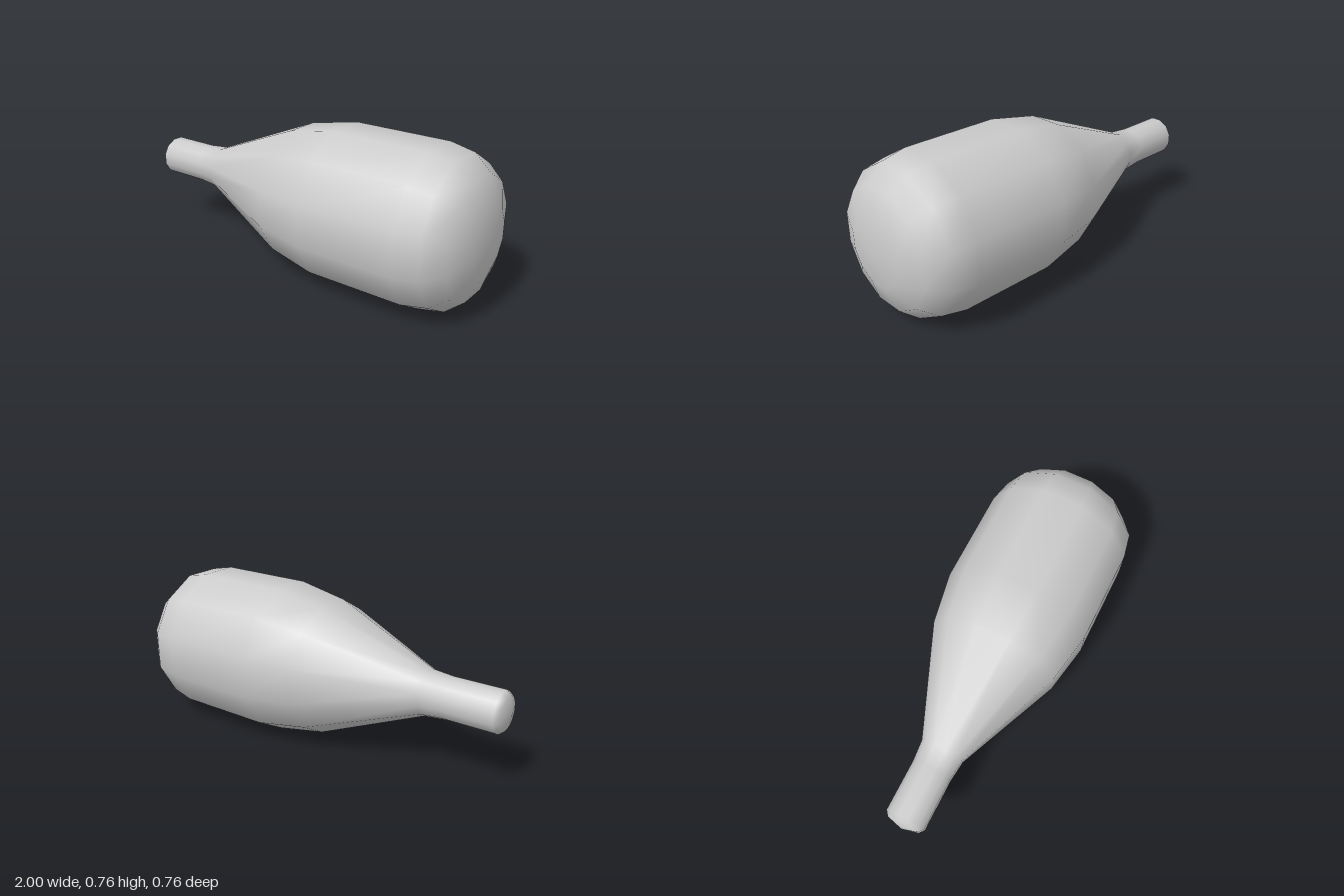
import * as THREE from 'three';

const SIDES = 12;
const HALF = Math.PI / SIDES;

// Profile along the bottle: [x, distance from axis to the flat of a side]
const PROFILE = [
  [-1.0, 0], [-0.98, 0.08], [-0.955, 0.1],                           // rounded mouth
  [-0.7, 0.1], [-0.59, 0.11],                                        // neck
  [-0.04, 0.333], [0.22, 0.38],                                      // shoulder
  [0.72, 0.38],                                                      // body
  [0.845, 0.355], [0.935, 0.283], [0.985, 0.155], [1.0, 0],          // rounded base
];

export function createModel() {
  const group = new THREE.Group();
  const material = new THREE.MeshStandardMaterial({ color: 0xcccccc });

  // Twelve-sided smooth lathe, turned so flats face up, down, front and back
  const points = PROFILE.map(([x, r]) => new THREE.Vector2(r / Math.cos(HALF), x));
  const geometry = new THREE.LatheGeometry(points, SIDES, HALF);

  // Point the normals at both tips straight along the axis
  const normal = geometry.attributes.normal;
  const last = PROFILE.length - 1;
  for (let i = 0; i <= SIDES; i++) {
    normal.setXYZ(i * (last + 1), 0, -1, 0);
    normal.setXYZ(i * (last + 1) + last, 0, 1, 0);
  }

  // Lay the bottle on its side, neck toward -x, resting on the ground
  geometry.rotateZ(-Math.PI / 2).translate(0, 0.38, 0);

  const bottle = new THREE.Mesh(geometry, material);
  bottle.name = 'bottle';
  group.add(bottle);
  return group;
}
